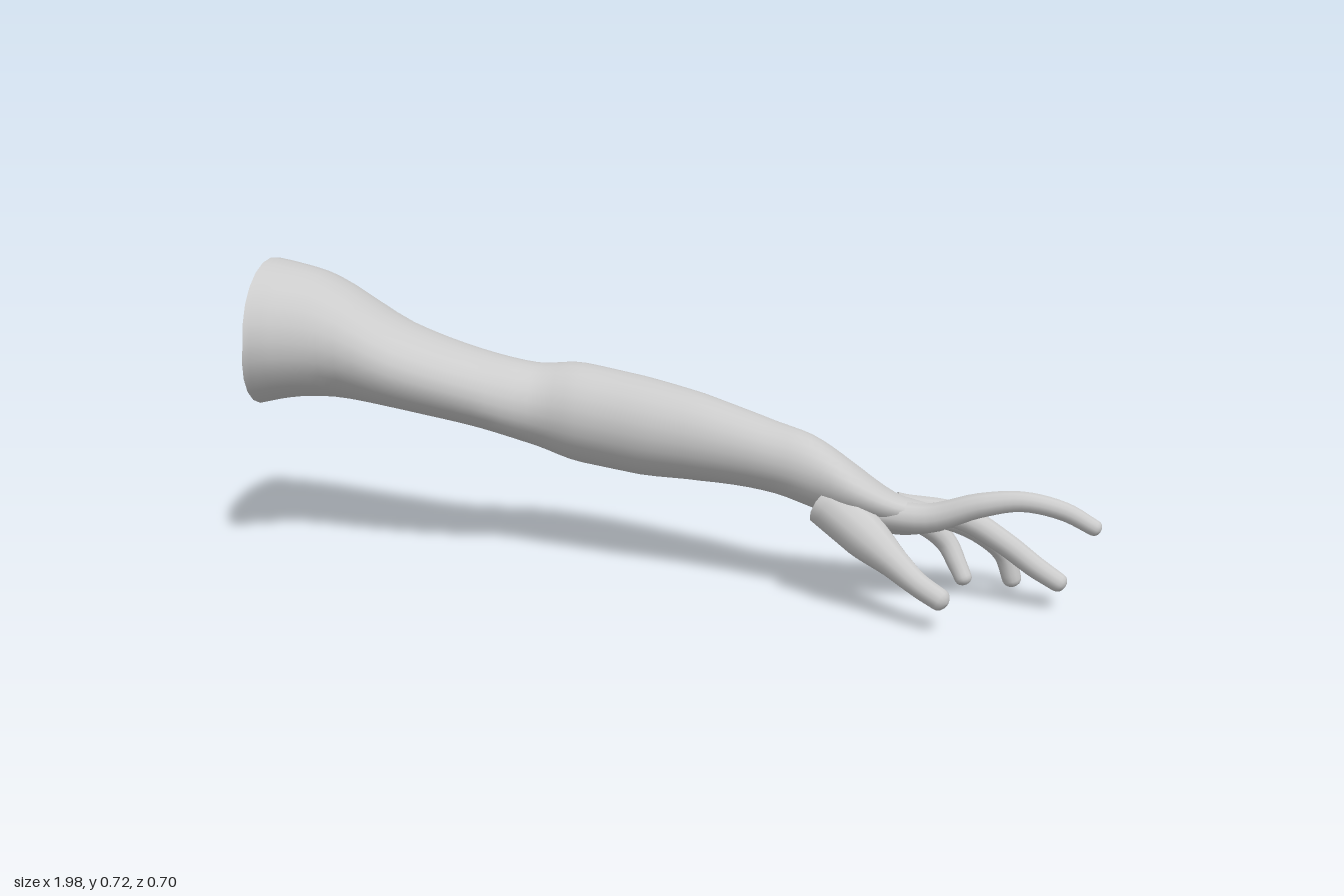
import * as THREE from 'three';

const SIDES = 24;
const material = new THREE.MeshStandardMaterial({ color: 0xcccccc, side: THREE.DoubleSide });

// Skin a list of closed rings of points with a smooth surface
function skin(name, rings) {
  const pos = [], index = [], n = rings[0].length;
  rings.forEach((ring) => ring.forEach((p) => pos.push(p.x, p.y, p.z)));
  for (let i = 0; i < rings.length - 1; i++) {
    for (let j = 0; j < n; j++) {
      const a = i * n + j, b = i * n + (j + 1) % n;
      index.push(a, b, a + n, b, b + n, a + n);
    }
  }
  const geo = new THREE.BufferGeometry();
  geo.setAttribute('position', new THREE.Float32BufferAttribute(pos, 3));
  geo.setIndex(index);
  geo.computeVertexNormals();
  const mesh = new THREE.Mesh(geo, material);
  mesh.name = name;
  return mesh;
}

// Arm from tilted elliptical sections: x, centre y, centre z, half depth, half height, tilt
function armMesh(name, sections) {
  const centre = new THREE.CatmullRomCurve3(sections.map((s) => new THREE.Vector3(s[0], s[1], s[2])));
  const shape = new THREE.CatmullRomCurve3(sections.map((s) => new THREE.Vector3(s[3], s[4], s[5])));
  const steps = (sections.length - 1) * 4, rings = [];
  for (let i = 0; i <= steps; i++) {
    const c = centre.getPoint(i / steps), s = shape.getPoint(i / steps);
    const ck = Math.cos(s.z), sk = Math.sin(s.z), ring = [];
    // the open end is cut slightly askew
    const skew = Math.max(0, 1 - i / 4) * 0.025;
    for (let j = 0; j < SIDES; j++) {
      const t = (j / SIDES) * Math.PI * 2;
      const h = s.y * Math.cos(t), d = s.x * Math.sin(t);
      ring.push(new THREE.Vector3(
        c.x - skew * Math.max(0, -Math.cos(t)),
        c.y + h * ck + d * sk,
        c.z + d * ck - h * sk));
    }
    rings.push(ring);
  }
  return skin(name, rings);
}

// Finger along a curve: points are x, y, z, radius; the tip is rounded
function fingerMesh(name, points) {
  const n = 12, steps = (points.length - 1) * 5;
  const path = new THREE.CatmullRomCurve3(points.map((p) => new THREE.Vector3(p[0], p[1], p[2])));
  const size = new THREE.CatmullRomCurve3(points.map((p) => new THREE.Vector3(p[3], 0, 0)));
  const rings = [];
  const addRing = (c, tangent, r) => {
    const u = new THREE.Vector3(0, 0, 1).cross(tangent).normalize();
    const v = tangent.clone().cross(u);
    rings.push(Array.from({ length: n }, (_, j) => {
      const t = (j / n) * Math.PI * 2;
      return c.clone().addScaledVector(u, r * Math.cos(t)).addScaledVector(v, r * Math.sin(t));
    }));
  };
  for (let i = 0; i <= steps; i++) {
    const t = i / steps;
    addRing(path.getPoint(t), path.getTangent(t), size.getPoint(t).x);
  }
  const end = path.getPoint(1), dir = path.getTangent(1), r = points[points.length - 1][3];
  for (let i = 1; i <= 4; i++) {
    const t = (i / 4) * Math.PI / 2;
    addRing(end.clone().addScaledVector(dir, 0.8 * r * Math.sin(t)), dir, r * Math.max(Math.cos(t), 0.001));
  }
  return skin(name, rings);
}

export function createModel() {
  const group = new THREE.Group();
  group.name = 'arm';

  // Upper arm, forearm, wrist and palm
  group.add(armMesh('armAndPalm', [
    [-0.97, 0.553, -0.135, 0.212, 0.178, 0],
    [-0.92, 0.553, -0.15, 0.195, 0.165, 0],
    [-0.82, 0.537, -0.162, 0.166, 0.148, 0],
    [-0.64, 0.472, -0.147, 0.153, 0.108, 0],
    [-0.45, 0.423, -0.127, 0.127, 0.094, 0],
    [-0.32, 0.385, -0.147, 0.112, 0.1, 0],
    [-0.2, 0.37, -0.13, 0.125, 0.12, 0],
    [-0.05, 0.353, -0.085, 0.125, 0.117, 0],
    [0.1, 0.342, -0.025, 0.11, 0.102, 0],
    [0.25, 0.322, 0.038, 0.097, 0.084, 0.05],
    [0.36, 0.298, 0.09, 0.087, 0.082, 0.15],
    [0.45, 0.255, 0.098, 0.115, 0.068, 0.28],
    [0.55, 0.202, 0.08, 0.127, 0.046, 0.35],
    [0.62, 0.192, 0.07, 0.112, 0.035, 0.35],
    [0.66, 0.188, 0.07, 0.075, 0.022, 0.35],
    [0.675, 0.187, 0.07, 0.001, 0.001, 0.35],
  ]));

  // Digits
  const digits = {
    thumb: [[0.4, 0.235, 0.14, 0.055], [0.48, 0.185, 0.2, 0.053], [0.55, 0.138, 0.255, 0.035],
      [0.6, 0.105, 0.295, 0.027], [0.648, 0.082, 0.326, 0.025]],
    indexFinger: [[0.5, 0.225, 0.16, 0.035], [0.62, 0.22, 0.175, 0.033], [0.73, 0.258, 0.197, 0.028],
      [0.82, 0.272, 0.205, 0.023], [0.91, 0.255, 0.212, 0.021], [0.975, 0.222, 0.217, 0.018]],
    middleFinger: [[0.56, 0.22, 0.1, 0.035], [0.69, 0.21, 0.112, 0.03], [0.79, 0.155, 0.12, 0.027],
      [0.86, 0.105, 0.13, 0.025], [0.912, 0.073, 0.138, 0.022]],
    ringFinger: [[0.55, 0.21, 0.05, 0.035], [0.66, 0.19, 0.042, 0.03], [0.74, 0.145, 0.005, 0.025],
      [0.8, 0.09, -0.02, 0.024], [0.822, 0.027, -0.025, 0.022]],
    littleFinger: [[0.53, 0.19, -0.005, 0.032], [0.62, 0.155, -0.018, 0.03], [0.67, 0.11, -0.02, 0.025],
      [0.695, 0.065, -0.003, 0.022], [0.71, 0.035, 0.01, 0.02]],
  };
  for (const [name, points] of Object.entries(digits)) group.add(fingerMesh(name, points));

  return group;
}
